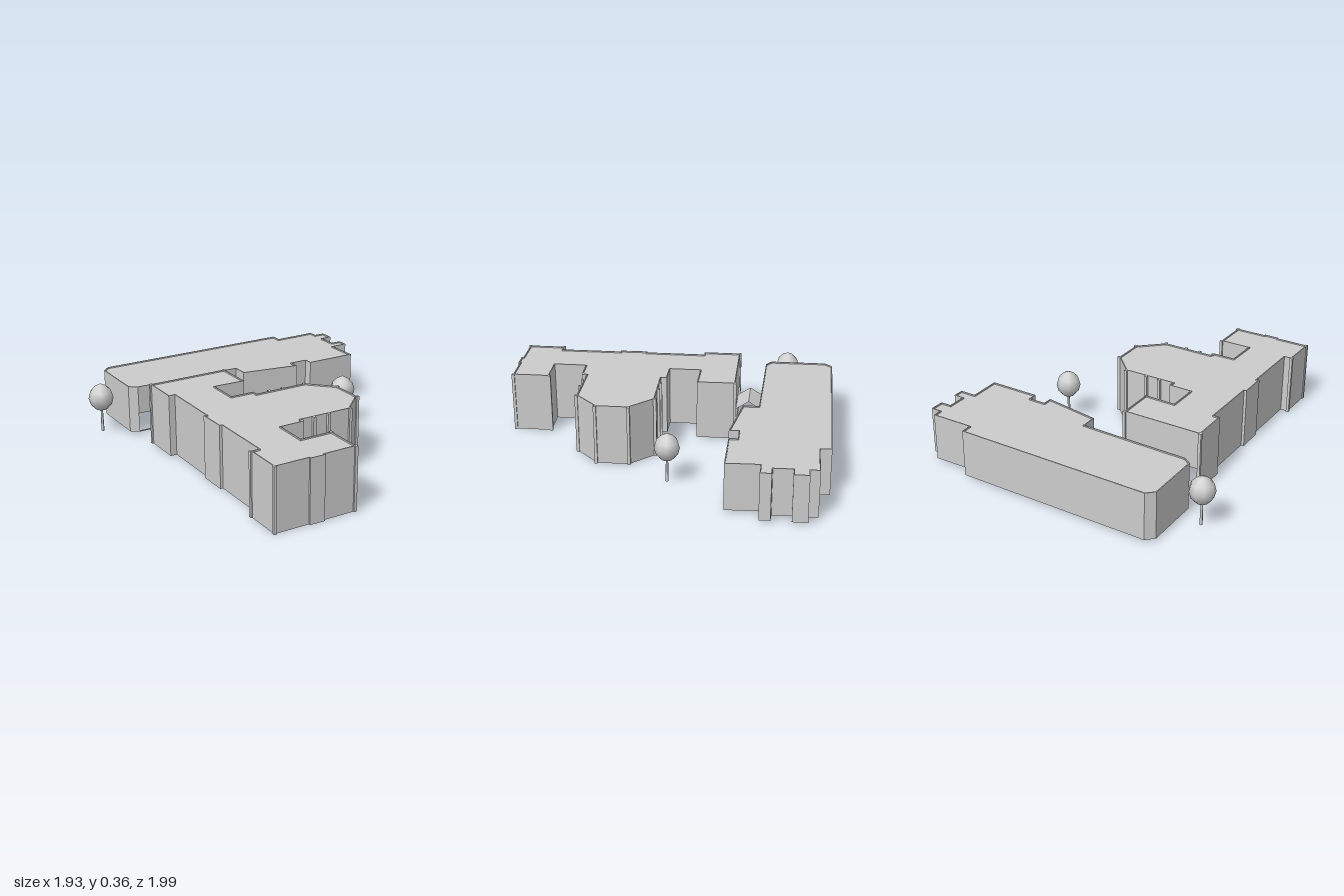
import * as THREE from 'three';

const grey = new THREE.MeshStandardMaterial({ color: 0xcccccc, side: THREE.DoubleSide });
const TURN = -0.275; // both buildings are turned by this angle

const add = (parent, name, geo, x = 0, y = 0, z = 0) => {
  const m = new THREE.Mesh(geo, grey);
  m.name = name;
  m.position.set(x, y, z);
  parent.add(m);
  return m;
};

// Move every edge of a closed plan inwards by t
function inset(pts, t) {
  const s = Math.sign(THREE.ShapeUtils.area(pts));
  const n = pts.length;
  return pts.map((p, i) => {
    const a = p.clone().sub(pts[(i + n - 1) % n]).normalize();
    const b = pts[(i + 1) % n].clone().sub(p).normalize();
    const na = new THREE.Vector2(-a.y, a.x), nb = new THREE.Vector2(-b.y, b.x);
    const k = s * t / Math.max(0.5, 1 + na.dot(nb));
    return p.clone().addScaledVector(na.add(nb), k);
  });
}

function extrude(shape, depth) {
  return new THREE.ExtrudeGeometry(shape, { depth, bevelEnabled: false }).rotateX(-Math.PI / 2);
}

// Hollow building: the first edge of the plan stays open between sill and lintel
function building(name, plan, y0, y1, lintel) {
  const g = new THREE.Group();
  g.name = name;
  const outer = plan.map(([x, z]) => new THREE.Vector2(x, -z));
  const inner = inset(outer, 0.006);
  const ring = () => {
    const s = new THREE.Shape(outer);
    s.holes.push(new THREE.Path(inner));
    return s;
  };
  const turn = (a) => [...a.slice(1), a[0]];
  const open = new THREE.Shape([...turn(outer), ...turn(inner).reverse()]);
  const sill = y0 + 0.006;
  add(g, 'baseRim', extrude(ring(), sill - y0), 0, y0);
  add(g, 'lowerWalls', extrude(open, lintel - sill), 0, sill);
  add(g, 'upperWalls', extrude(ring(), y1 - lintel), 0, lintel);
  add(g, 'roof', new THREE.ShapeGeometry(new THREE.Shape(inner)).rotateX(-Math.PI / 2), 0, y1 - 0.008);
  return g;
}

function tree(x, z) {
  const g = new THREE.Group();
  g.name = 'tree';
  add(g, 'trunk', new THREE.CylinderGeometry(0.006, 0.009, 0.17, 6), 0, 0.1);
  const profile = [[0, 0.145], [0.035, 0.155], [0.062, 0.185], [0.073, 0.225], [0.062, 0.265], [0.034, 0.293], [0, 0.31]];
  add(g, 'crown', new THREE.LatheGeometry(profile.map((p) => new THREE.Vector2(...p)), 9));
  g.position.set(x, 0, z);
  return g;
}

export function createModel() {
  const model = new THREE.Group();
  model.name = 'buildingComplex';

  // Front building with wings and a faceted hall
  const front = building('frontBuilding', [
    [-0.59, -0.44], [-0.13, -0.31], [-0.19, -0.09], [-0.37, -0.145], [-0.42, 0.035],
    [-0.285, 0.075], [-0.297, 0.11], [0.01, 0.195], [0.1, 0.36], [0.05, 0.54],
    [-0.12, 0.63], [-0.42, 0.543], [-0.43, 0.572], [-0.565, 0.535], [-0.62, 0.72],
    [-0.44, 0.77], [-0.5, 0.98], [-0.68, 0.93], [-0.685, 0.94], [-0.77, 0.915],
    [-0.767, 0.905], [-0.96, 0.85], [-0.9, 0.64], [-0.855, 0.652], [-0.755, 0.295],
    [-0.77, 0.29], [-0.727, 0.13], [-0.711, 0.134], [-0.613, -0.215], [-0.65, -0.225],
  ], 0, 0.362, 0.14);
  model.add(front);

  // Slim piers along its walls and corners
  const piers = [[-0.21, 0.125], [-0.125, 0.15], [0.01, 0.192], [0.103, 0.36], [0.052, 0.545],
    [-0.118, 0.634], [-0.255, 0.598], [-0.345, 0.573], [-0.43, 0.56], [-0.44, 0.768],
    [-0.5, 0.98], [-0.957, 0.85], [-0.9, 0.64], [-0.59, -0.44], [-0.13, -0.31]];
  for (const [x, z] of piers) {
    add(front, 'pier', new THREE.BoxGeometry(0.017, 0.362, 0.017), x, 0.181, z).rotation.y = TURN;
  }

  // Long back building, slightly raised
  model.add(building('backBuilding', [
    [0.07, -0.41], [-0.55, -0.6], [-0.585, -0.645], [-0.495, -0.97], [-0.44, -1],
    [0.69, -0.67], [0.675, -0.608], [0.917, -0.542], [0.905, -0.49], [0.963, -0.473],
    [0.94, -0.39], [0.878, -0.407], [0.85, -0.302], [0.907, -0.283], [0.89, -0.222],
    [0.797, -0.248], [0.75, -0.063], [0.458, -0.147], [0.47, -0.198], [0.375, -0.225],
    [0.36, -0.17], [0.045, -0.32],
  ], 0.015, 0.295, 0.13));

  // Gabled link roof between the two buildings
  const rows = [
    [[-0.417, 0.14, -0.555], [-0.208, 0.14, -0.493]],
    [[-0.438, 0.19, -0.477], [-0.23, 0.19, -0.418]],
    [[-0.457, 0.14, -0.4], [-0.25, 0.14, -0.345]],
  ];
  const link = new THREE.BufferGeometry();
  link.setAttribute('position', new THREE.Float32BufferAttribute(rows.flat(2), 3));
  link.setIndex([0, 2, 1, 1, 2, 3, 2, 4, 3, 3, 4, 5]);
  const flat = link.toNonIndexed();
  flat.computeVertexNormals();
  add(model, 'linkRoof', flat);

  model.add(tree(0.37, 0.18), tree(-0.685, -0.775));
  return model;
}
